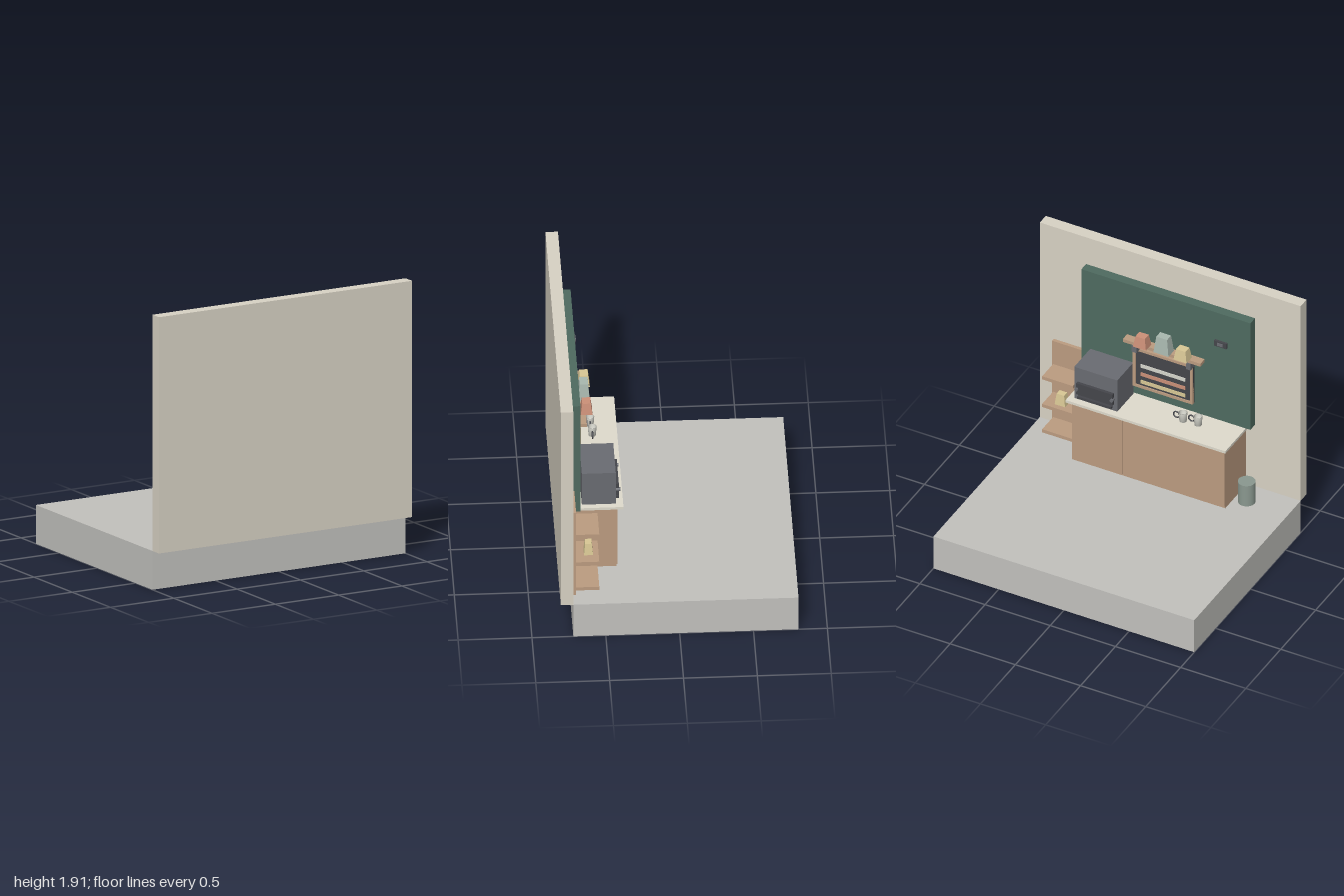
import * as THREE from 'three';

const mat = (color) => new THREE.MeshStandardMaterial({ color });
const M = {
  wall: mat(0xd8d2c4), floor: mat(0xc2c1bd), green: mat(0x4f6b60), wood: mat(0xbc9c80),
  stone: mat(0xdfdbcd), steel: mat(0x6a6c72), dark: mat(0x45464b), cup: mat(0xd6d6cd),
  bin: mat(0x8a988f), orange: mat(0xcc9078), sage: mat(0xa9b8af), yellow: mat(0xd9c895),
};

export function createModel() {
  const root = new THREE.Group();
  const add = (name, geo, material, x = 0, y = 0, z = 0, parent = root) => {
    const m = new THREE.Mesh(geo, material);
    m.name = name;
    m.position.set(x, y, z);
    parent.add(m);
    return m;
  };
  // Box given by its extents along each axis
  const box = (name, material, x0, x1, y0, y1, z0, z1) =>
    add(name, new THREE.BoxGeometry(x1 - x0, y1 - y0, z1 - z0), material,
      (x0 + x1) / 2, (y0 + y1) / 2, (z0 + z1) / 2);

  // Room shell
  box('floorSlab', M.floor, -1, 1, 0, 0.27, -0.805, 0.72);
  box('backWall', M.wall, -1, 1, 0.27, 1.915, 0.72, 0.805);
  box('accentPanel', M.green, -0.65, 0.645, 0.79, 1.69, 0.653, 0.72);

  // Counter with three door panels
  box('counterBody', M.wood, -0.59, 0.585, 0.27, 0.77, 0.405, 0.70);
  box('counterTop', M.stone, -0.615, 0.61, 0.77, 0.79, 0.36, 0.70);
  for (let i = 0; i < 3; i++) {
    const x = -0.587 + i * 0.392;
    box('counterDoor', M.wood, x, x + 0.385, 0.285, 0.77, 0.40, 0.405);
  }

  // Oven
  box('ovenBody', M.steel, 0.24, 0.57, 0.79, 1.053, 0.41, 0.64);
  box('ovenDoor', M.dark, 0.265, 0.545, 0.845, 0.937, 0.388, 0.41);
  box('ovenTray', M.dark, 0.275, 0.535, 0.812, 0.83, 0.386, 0.41);
  for (const x of [0.27, 0.54]) {
    const knob = add('ovenKnob', new THREE.CylinderGeometry(0.013, 0.013, 0.03, 16), M.steel, x, 0.89, 0.392);
    knob.rotation.x = Math.PI / 2;
  }

  // Menu board with frame and coloured strips
  box('menuBoard', M.dark, -0.22, 0.24, 0.87, 1.19, 0.638, 0.653);
  for (const [x0, x1, y0, y1] of [
    [-0.22, 0.24, 1.17, 1.19], [-0.22, 0.24, 0.865, 0.885],
    [-0.22, -0.2, 0.885, 1.17], [0.22, 0.24, 0.885, 1.17],
  ]) box('menuFrame', M.wood, x0, x1, y0, y1, 0.63, 0.653);
  [[M.cup, 1.05], [M.orange, 0.98], [M.yellow, 0.917]].forEach(([m, y]) =>
    box('menuStrip', m, -0.16, 0.18, y - 0.014, y + 0.014, 0.633, 0.638));

  // Wall shelf on brackets
  box('wallShelf', M.wood, -0.30, 0.295, 1.24, 1.265, 0.592, 0.653);
  for (const x of [-0.21, 0.206]) box('shelfBracket', M.steel, x - 0.018, x + 0.018, 1.187, 1.24, 0.585, 0.653);

  // Tapered four-sided bags
  const bag = (material, x, y, z, w, h, d) => {
    const g = new THREE.CylinderGeometry(0.72 * Math.SQRT1_2, Math.SQRT1_2, 1, 4).toNonIndexed();
    g.rotateY(Math.PI / 4);
    g.scale(w, h, d);
    g.computeVertexNormals();
    add('bag', g, material, x, y + h / 2, z);
  };
  bag(M.yellow, -0.165, 1.265, 0.59, 0.1, 0.085, 0.08);
  bag(M.sage, -0.015, 1.265, 0.598, 0.115, 0.13, 0.08);
  bag(M.orange, 0.145, 1.265, 0.588, 0.1, 0.085, 0.08);
  bag(M.yellow, 0.77, 0.54, 0.607, 0.08, 0.09, 0.062);

  // Wall switch
  box('switchPlate', M.dark, -0.475, -0.38, 1.42, 1.463, 0.635, 0.653);
  box('switchButton', M.steel, -0.45, -0.405, 1.43, 1.453, 0.63, 0.635);

  // Open shelving beside the counter
  box('shelvingBack', M.wood, 0.65, 0.892, 0.27, 0.97, 0.695, 0.72);
  for (const y of [0.302, 0.516, 0.75]) box('shelvingBoard', M.wood, 0.65, 0.885, y, y + 0.026, 0.538, 0.695);

  // Cups with ring handles
  for (const [x, z] of [[-0.31, 0.54], [-0.2, 0.53]]) {
    const cup = new THREE.Group();
    cup.name = 'cup';
    cup.position.set(x, 0.79, z);
    const profile = [[0, 0], [0.025, 0], [0.03, 0.07], [0.026, 0.07], [0.022, 0.01], [0, 0.01]];
    add('cupBody', new THREE.LatheGeometry(profile.map((p) => new THREE.Vector2(...p)), 24), M.cup, 0, 0, 0, cup);
    add('cupHandle', new THREE.TorusGeometry(0.023, 0.005, 8, 20), M.dark, 0.05, 0.036, 0, cup);
    root.add(cup);
  }

  // Waste bin
  add('bin', new THREE.CylinderGeometry(0.06, 0.06, 0.17, 32), M.bin, -0.68, 0.355, 0.545);

  return root;
}
